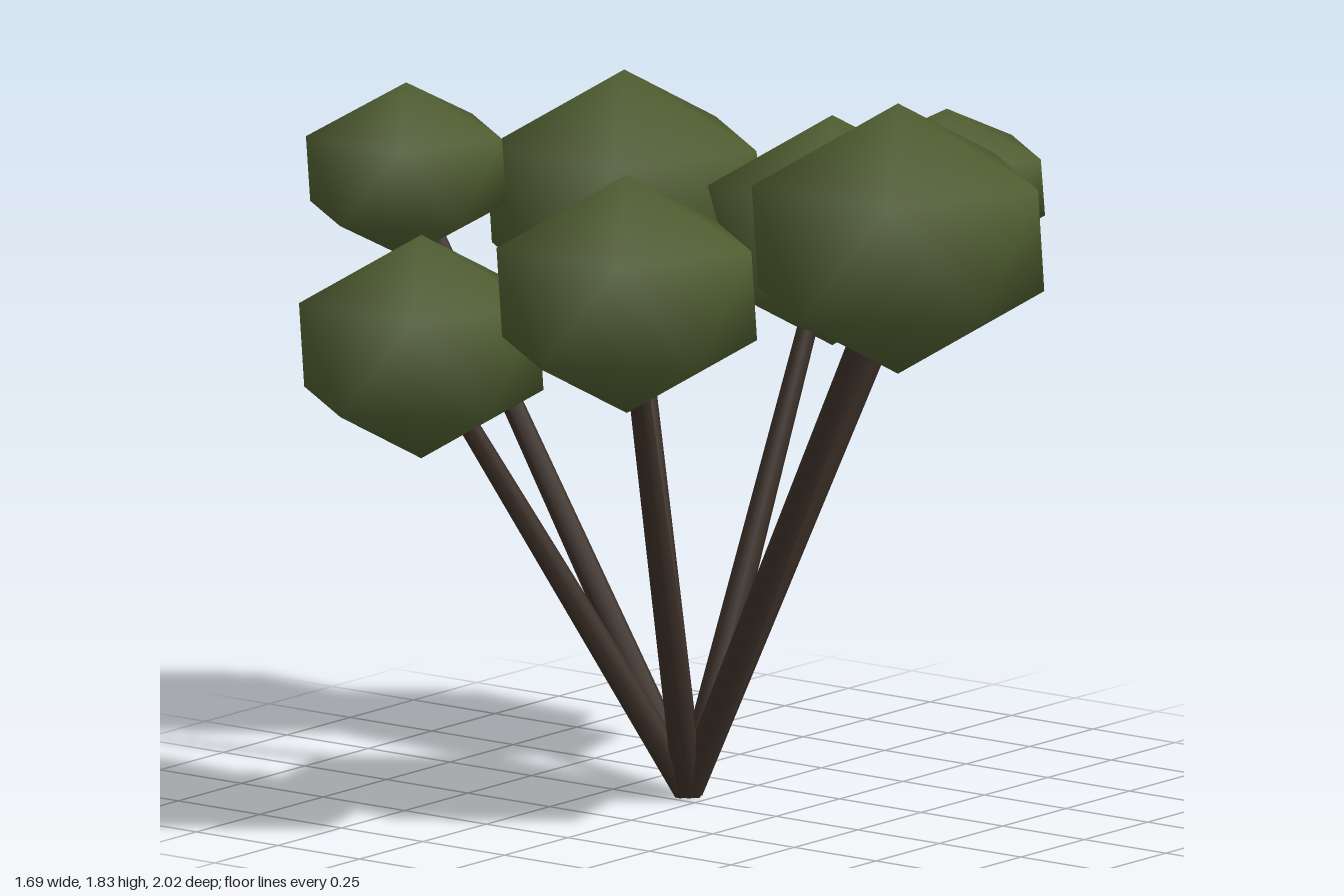
import * as THREE from 'three';
import { mergeVertices } from 'three/addons/utils/BufferGeometryUtils.js';

// Twenty-sided blob with a point straight up and smooth normals
function makeLeafGeometry() {
  let geo = new THREE.IcosahedronGeometry(1, 0);
  geo.deleteAttribute('uv');
  geo.deleteAttribute('normal');
  geo = mergeVertices(geo, 1e-3);
  const golden = (1 + Math.sqrt(5)) / 2;
  geo.rotateX(-Math.atan(golden)); // stand it on a vertex
  geo.rotateY(THREE.MathUtils.degToRad(88));
  geo.computeVertexNormals();
  return geo;
}

// Tapered stem running from one point to another
function makeStem(from, to, baseRadius, tipRadius, material) {
  const dir = new THREE.Vector3().subVectors(to, from);
  const mesh = new THREE.Mesh(
    new THREE.CylinderGeometry(tipRadius, baseRadius, dir.length(), 8), material);
  mesh.position.addVectors(from, to).multiplyScalar(0.5);
  mesh.quaternion.setFromUnitVectors(new THREE.Vector3(0, 1, 0), dir.normalize());
  return mesh;
}

export function createModel() {
  const model = new THREE.Group();
  model.name = 'tree';
  const leafMaterial = new THREE.MeshStandardMaterial({ color: 0x4f5d30 });
  const barkMaterial = new THREE.MeshStandardMaterial({ color: 0x3b2f27 });
  const leafGeometry = makeLeafGeometry();
  const root = new THREE.Vector3(0.04, 0.015, -0.05);

  // Each branch: crown centre, widest radius, half height
  const branches = [
    { name: 'front', at: [-0.06, 1.495, 0.67], radius: 0.365, half: 0.335 },
    { name: 'frontRight', at: [-0.525, 1.375, 0.2], radius: 0.325, half: 0.295 },
    { name: 'backRight', at: [-0.525, 1.16, -0.43], radius: 0.305, half: 0.277 },
    { name: 'back', at: [-0.16, 1.49, -0.76], radius: 0.25, half: 0.217 },
    { name: 'backLeft', at: [0.34, 1.375, -0.48], radius: 0.345, half: 0.315 },
    { name: 'left', at: [0.53, 1.325, 0.01], radius: 0.31, half: 0.285 },
    { name: 'frontLeft', at: [0.48, 1.495, 0.4], radius: 0.245, half: 0.192 },
  ];

  for (const { name, at, radius, half } of branches) {
    const centre = new THREE.Vector3(...at);
    const branch = new THREE.Group();
    branch.name = name + 'Branch';

    const stem = makeStem(root, centre, 0.037, 0.012 + radius * 0.032, barkMaterial);
    stem.name = name + 'Stem';

    // The widest ring of the blob lies at 0.894 of its radius
    const crown = new THREE.Mesh(leafGeometry, leafMaterial);
    crown.name = name + 'Crown';
    crown.position.copy(centre);
    crown.scale.set(radius / 0.894, half, radius / 0.894);

    branch.add(stem, crown);
    model.add(branch);
  }
  return model;
}
